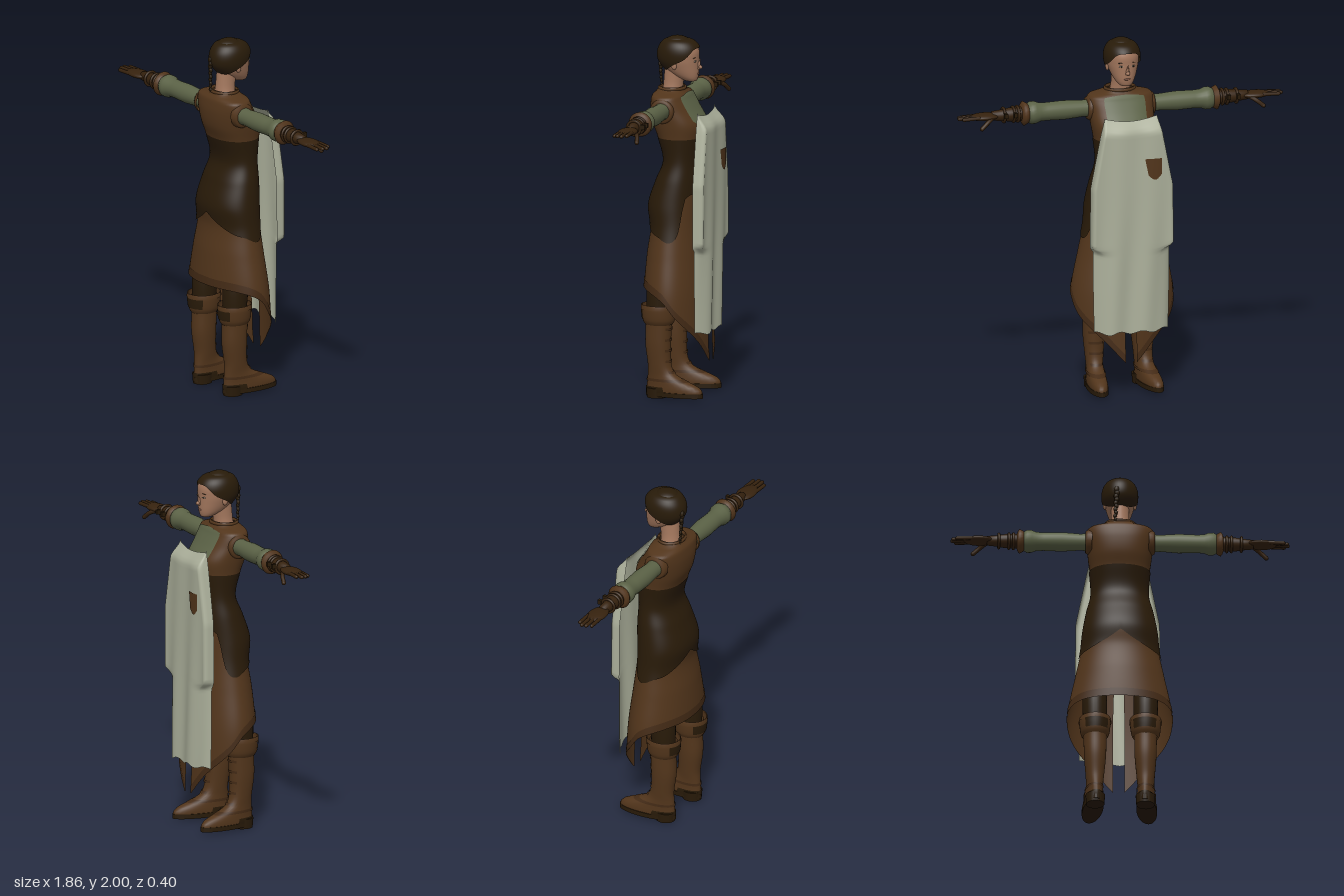
import * as THREE from 'three';

const mat = (name, color) => Object.assign(new THREE.MeshStandardMaterial({ color }), { name });
const PI = Math.PI;

// Smooth interpolation of table rows [t, a, b, ...] at t
function sample(tab, t, smooth = true) {
  const n = tab.length;
  t = Math.min(Math.max(t, tab[0][0]), tab[n - 1][0]);
  let i = 0;
  while (i < n - 2 && t > tab[i + 1][0]) i++;
  const p = tab[i], q = tab[i + 1], h = q[0] - p[0], f = (t - p[0]) / h;
  const slope = (k, c) => {
    const a = tab[Math.max(k - 1, 0)], b = tab[Math.min(k + 1, n - 1)];
    return (b[c] - a[c]) / (b[0] - a[0]);
  };
  return p.slice(1).map((_, j) => {
    const c = j + 1;
    if (!smooth) return p[c] + (q[c] - p[c]) * f;
    const f2 = f * f, f3 = f2 * f;
    return p[c] * (2 * f3 - 3 * f2 + 1) + q[c] * (3 * f2 - 2 * f3)
      + h * (slope(i, c) * (f3 - 2 * f2 + f) + slope(i + 1, c) * (f3 - f2));
  });
}

// Grid surface from a point function; first index runs around, second upward
function grid(nu, nv, fn, closed) {
  const pos = [], idx = [], w = closed ? nu : nu + 1;
  for (let j = 0; j <= nv; j++) for (let i = 0; i < w; i++) pos.push(...fn(i / nu, j / nv));
  for (let j = 0; j < nv; j++) for (let i = 0; i < nu; i++) {
    const k = (i + 1) % w, a = j * w + i, b = j * w + k, c = a + w, d = b + w;
    idx.push(a, c, b, b, c, d);
  }
  const g = new THREE.BufferGeometry();
  g.setAttribute('position', new THREE.Float32BufferAttribute(pos, 3));
  g.setIndex(idx);
  g.computeVertexNormals();
  return g;
}

// Loft of oval sections [y, halfWidth, zBack, zFront]; angle 0 is the face side (-z)
function loft(tab, lo, hi, { n = 40, rows = 20, from = 0, to = 2 * PI, off = 0, pow = 2 } = {}) {
  const val = (f, a) => typeof f === 'function' ? f(a) : f;
  return grid(n, rows, (u, v) => {
    const a = from + (to - from) * u, l = val(lo, a), y = l + (val(hi, a) - l) * v;
    const [hw, zb, zf] = sample(tab, y);
    const s = Math.sin(a), c = Math.cos(a);
    const r = Math.pow(Math.abs(s) ** pow + Math.abs(c) ** pow, -1 / pow);
    return [(hw + off) * s * r, y, (zb + zf) / 2 - ((zb - zf) / 2 + off) * c * r];
  }, to - from > 6.28);
}

export function createModel() {
  const M = {
    leather: mat('brown leather', 0x52351b), trim: mat('dark leather trim', 0x432a15),
    corset: mat('dark corset', 0x281a08), hair: mat('dark brown hair', 0x281b09),
    glove: mat('glove brown', 0x36220e), cloth: mat('green shirt', 0x5b6246),
    tabard: mat('pale cloth', 0xacb09b), skin: mat('skin', 0xa3775d),
    lips: mat('lips', 0x8a5c48), eye: mat('eye white', 0xa89e90),
  };
  M.tabard.side = M.leather.side = M.trim.side = M.hair.side = THREE.DoubleSide;
  const root = new THREE.Group();
  root.name = 'figure';
  const add = (name, geo, m, parent = root, p = [0, 0, 0], r = [0, 0, 0], s = [1, 1, 1]) => {
    const o = new THREE.Mesh(geo, m);
    o.name = name;
    o.position.set(...p); o.rotation.set(...r); o.scale.set(...s);
    parent.add(o);
    return o;
  };
  const fold = a => Math.abs(a > PI ? 2 * PI - a : a);

  // Torso, corset and skirt share one set of sections
  const body = [
    [0.15, 0.285, 0.2, -0.165], [0.45, 0.29, 0.2, -0.155], [0.6, 0.285, 0.2, -0.145], [0.8, 0.245, 0.186, -0.125],
    [0.95, 0.215, 0.166, -0.11], [1.07, 0.202, 0.177, -0.108], [1.2, 0.18, 0.136, -0.108],
    [1.31, 0.156, 0.095, -0.105], [1.44, 0.163, 0.126, -0.118], [1.52, 0.174, 0.155, -0.122],
    [1.6, 0.182, 0.165, -0.075], [1.66, 0.184, 0.16, -0.04], [1.682, 0.165, 0.153, -0.03],
    [1.695, 0.1, 0.14, -0.015], [1.72, 0.08, 0.125, -0.005]];
  const hemTab = [[0, 0.17], [0.12, 0.2], [0.55, 0.33], [1.2, 0.47], [1.57, 0.56], [2.2, 0.61], [PI, 0.62]];
  const hem = a => sample(hemTab, fold(a))[0];
  const edgeTab = [[0, 1.13], [0.85, 1.12], [1.0, 1.0], [1.15, 0.91], [1.45, 0.88], [1.9, 0.91], [2.3, 0.93], [2.8, 0.98], [PI, 1.03]];
  const edge = a => sample(edgeTab, fold(a))[0];
  add('vest', loft(body, 1.42, 1.72, { rows: 30, n: 56, pow: 2.4 }), M.leather);
  add('corset', loft(body, edge, 1.445, { rows: 36, n: 80, off: 0.005, pow: 2.15 }), M.corset);
  const slit = { from: 0.11, to: 2 * PI - 0.11, n: 72 };
  add('skirt', loft(body, hem, 1.16, { ...slit, rows: 36 }), M.leather);
  add('skirtHem', loft(body, hem, a => hem(a) + 0.045, { ...slit, rows: 3, off: 0.003 }), M.trim);
  add('shirtFront', loft(body, a => 1.5 + 0.12 * a * a, a => 1.688 - 0.03 * a * a,
    { from: -0.62, to: 0.62, n: 16, rows: 16, off: 0.005, pow: 2.4 }), M.cloth);
  add('collar', new THREE.TorusGeometry(0.078, 0.009, 8, 32), M.leather, root, [0, 1.708, 0.06], [PI / 2, 0, 0], [1.05, 0.9, 1]);

  // Neck and head
  add('neck', loft([[1.66, 0.07, 0.12, 0], [1.72, 0.053, 0.11, 0], [1.78, 0.05, 0.105, -0.01], [1.84, 0.05, 0.1, -0.02]],
    1.66, 1.84, { n: 24, rows: 8 }), M.skin);
  const head = [
    [1.745, 0.004, -0.045, -0.055], [1.75, 0.026, -0.02, -0.077], [1.765, 0.044, 0.01, -0.085], [1.79, 0.06, 0.06, -0.09],
    [1.83, 0.076, 0.105, -0.091], [1.87, 0.087, 0.13, -0.091], [1.92, 0.088, 0.13, -0.09],
    [1.96, 0.073, 0.11, -0.068], [1.982, 0.045, 0.08, -0.03], [1.988, 0.002, 0.03, 0.02]];
  add('head', loft(head, 1.745, 1.988, { n: 40, rows: 32, pow: 2.15 }), M.skin);
  const lineTab = [[0, 1.94], [0.6, 1.93], [1.1, 1.88], [1.45, 1.86], [1.9, 1.835], [2.4, 1.815], [PI, 1.81]];
  add('hair', loft(head, a => sample(lineTab, fold(a))[0], 1.988, { n: 48, rows: 24, off: 0.012 }), M.hair);
  add('hairCrown', new THREE.SphereGeometry(0.062, 24, 12), M.hair, root, [0, 1.965, 0.03], [0, 0, 0], [1, 0.56, 1.1]);
  for (let i = 0; i < 11; i++) add('braid', new THREE.SphereGeometry(0.015 - i * 0.0006, 10, 8), M.hair, root,
    [-0.02 - 0.001 * i + (i % 2 ? 0.002 : -0.002), 1.89 - i * 0.0195, 0.14 - 0.001 * i], [0, 0, i % 2 ? 0.4 : -0.4], [1, 1.2, 0.75]);
  add('nose', new THREE.ConeGeometry(0.015, 0.06, 12), M.skin, root, [0, 1.85, -0.094], [-0.3, 0, 0], [0.9, 1, 1]);
  add('noseTip', new THREE.SphereGeometry(0.011, 12, 8), M.skin, root, [0, 1.829, -0.102]);
  add('mouth', new THREE.SphereGeometry(0.02, 12, 8), M.lips, root, [0, 1.793, -0.087], [0, 0, 0], [1, 0.3, 0.3]);
  for (const s of [-1, 1]) {
    add('eye', new THREE.SphereGeometry(0.011, 12, 8), M.eye, root, [s * 0.034, 1.866, -0.083], [0, s * -0.25, 0], [1.2, 0.45, 0.4]);
    add('iris', new THREE.SphereGeometry(0.006, 10, 8), M.hair, root, [s * 0.034, 1.866, -0.086], [0, 0, 0], [1, 0.9, 0.4]);
    add('brow', new THREE.SphereGeometry(0.018, 10, 6), M.hair, root, [s * 0.036, 1.886, -0.082], [0, s * -0.3, s * -0.1], [1, 0.12, 0.22]);
    add('ear', new THREE.SphereGeometry(0.025, 12, 8), M.skin, root, [s * 0.083, 1.845, 0.025], [0.15, 0, 0], [0.4, 1, 0.65]);
  }

  // Pale cloth panel: square side flaps above the jog, softly curled edges below it
  const sideTab = [[0.37, 0.205], [0.6, 0.21], [0.84, 0.212], [0.86, 0.228], [1.2, 0.224], [1.5, 0.165], [1.6, 0.14]];
  const side = y => sample(sideTab, y, false)[0];
  const panelZ = (x, y) => {
    const low = THREE.MathUtils.smoothstep(1.3 - y, 0, 0.7), top = THREE.MathUtils.smoothstep(y, 1.5, 1.6);
    const z = -0.191 + 0.008 * Math.sin(x * 34 + y * 2) * (0.4 + 0.6 * low);
    return z * (1 - top) - 0.134 * top;
  };
  const wall = 0.12;
  add('frontPanel', grid(48, 64, (u, v) => {
    const lo = 0.375 + 0.008 * Math.sin(u * 21), y = lo + (1.6 - 0.03 * Math.sin(u * PI) - lo) * v;
    const flap = THREE.MathUtils.smoothstep(y, 0.82, 0.87), e = u * 2 - 1;
    const t = THREE.MathUtils.clamp((u - wall) / (1 - 2 * wall), 0, 1) * 2 - 1;
    const turn = Math.max(wall - u, u - 1 + wall, 0) / wall;
    const w = side(y) + (e < 0 ? 0.012 : 0);
    const square = t * (0.965 + 0.035 * Math.min(turn * 3, 1));
    const x = w * THREE.MathUtils.lerp(e, square, flap);
    const curl = THREE.MathUtils.lerp(0.9 * Math.abs(e) ** 5, turn, flap);
    return [x, y, THREE.MathUtils.lerp(panelZ(x, y), -0.13, curl)];
  }), M.tabard);
  add('tornPatch', grid(10, 8, (u, v) => {
    const lo = 1.27 - 0.03 * Math.sin(u * 3), y = lo + (1.36 - lo) * v, x = -0.165 + (0.095 - (1.36 - y) * 0.2) * u;
    return [x, y, panelZ(x, y) - 0.004];
  }), M.leather);

  const lathe = (pts) => new THREE.LatheGeometry(pts.map(([x, r]) => new THREE.Vector2(r, x)), 24);
  for (const s of [-1, 1]) {
    // Arms are turned profiles laid along x
    const arm = new THREE.Group();
    arm.name = s > 0 ? 'leftArm' : 'rightArm';
    arm.position.set(0, 1.603, 0.063);
    root.add(arm);
    const rot = [0, 0, -s * PI / 2];
    const turn = (name, pts, m) => add(name, lathe(pts), m, arm, [0, 0, 0], rot);
    turn('shoulderCap', [[0.155, 0.07], [0.178, 0.068], [0.19, 0.06], [0.191, 0.04]], M.leather);
    turn('sleeve', [[0.14, 0.05], [0.22, 0.046], [0.32, 0.053], [0.42, 0.05], [0.46, 0.052], [0.485, 0.062], [0.51, 0.063], [0.53, 0.052], [0.545, 0.04]], M.cloth);
    turn('cuff', [[0.522, 0.045], [0.53, 0.056], [0.552, 0.068], [0.562, 0.054], [0.568, 0.035]], M.leather);
    turn('bracer', [[0.55, 0.04], [0.6, 0.04], [0.64, 0.037], [0.68, 0.031], [0.73, 0.026], [0.735, 0.001]], M.glove);
    for (const x of [0.585, 0.61, 0.665]) {
      add('wristStrap', new THREE.TorusGeometry(0.062 - x * 0.035, 0.008, 8, 24), M.glove, arm, [s * x, 0, 0], [0, PI / 2, 0]);
    }
    for (const x of [0.61, 0.665]) {
      add('buckle', new THREE.BoxGeometry(0.018, 0.026, 0.024), M.corset, arm, [s * x, 0.008, -0.052]);
    }
    add('palm', new THREE.SphereGeometry(1, 20, 14), M.glove, arm, [s * 0.775, 0, 0], [0, 0, 0], [0.085, 0.02, 0.052]);
    for (let i = 0; i < 4; i++) {
      const len = [0.085, 0.105, 0.1, 0.08][i], z = -0.036 + i * 0.024;
      add('finger', new THREE.CapsuleGeometry(0.0105, len, 4, 10), M.glove, arm,
        [s * (0.815 + len / 2), 0.002 - (i === 3 ? 0.004 : 0), z], [0, 0, -s * PI / 2 - s * 0.03]);
    }
    add('thumb', new THREE.TubeGeometry(new THREE.CatmullRomCurve3([[0.725, 0, -0.02], [0.765, -0.02, -0.05], [0.805, -0.052, -0.063]]
      .map(p => new THREE.Vector3(s * p[0], p[1], p[2]))), 10, 0.012, 10), M.glove, arm);
    add('thumbTip', new THREE.SphereGeometry(0.012, 10, 8), M.glove, arm, [s * 0.805, -0.052, -0.063]);

    // Legs, boots and soles, toes turned slightly out
    const leg = new THREE.Group();
    leg.name = s > 0 ? 'leftLeg' : 'rightLeg';
    leg.position.set(s * 0.138, 0, 0.1);
    leg.rotation.y = -s * 0.1;
    root.add(leg);
    add('trouser', loft([[0.4, 0.06, 0.055, -0.065], [0.6, 0.068, 0.06, -0.085], [0.75, 0.062, 0.035, -0.1]], 0.4, 0.75, { n: 24, rows: 8 }), M.corset, leg);
    const boot = [
      [0.025, 0.05, 0.06, -0.265], [0.05, 0.052, 0.062, -0.265], [0.075, 0.05, 0.06, -0.235], [0.1, 0.048, 0.058, -0.17],
      [0.13, 0.046, 0.055, -0.11], [0.18, 0.05, 0.053, -0.08], [0.3, 0.06, 0.067, -0.075], [0.42, 0.062, 0.065, -0.08], [0.5, 0.066, 0.07, -0.085]];
    add('boot', loft(boot, 0.025, 0.5, { n: 32, rows: 32, pow: 2.2 }), M.leather, leg);
    const oval = new THREE.Shape();
    oval.absellipse(0, 0.102, 0.056, 0.169, 0, 2 * PI);
    add('sole', new THREE.ExtrudeGeometry(oval, { depth: 0.026, bevelEnabled: false, curveSegments: 20 }), M.corset, leg, [0, 0.012, 0], [-PI / 2, 0, 0]);
    add('heel', new THREE.CylinderGeometry(0.054, 0.05, 0.055, 20), M.corset, leg, [0, 0.0275, 0.005], [0, 0, 0], [1, 1, 1.1]);
    add('heelCounter', loft(boot, 0.03, 0.065, { from: PI - 1.3, to: PI + 1.3, n: 14, rows: 5, off: 0.004, pow: 2.2 }), M.corset, leg);
    add('ankleStrap', loft(boot, 0.095, 0.11, { n: 28, rows: 2, off: 0.004, pow: 2.2 }), M.trim, leg);
    for (const y of [0.14, 0.2, 0.26, 0.32, 0.38]) {
      add('bootLace', loft(boot, y, y + 0.014, { from: -0.7, to: 0.7, n: 10, rows: 2, off: 0.006 }), M.trim, leg);
    }
    const cuff = [[0.41, 0.066, 0.07, -0.085], [0.43, 0.078, 0.082, -0.097], [0.5, 0.086, 0.089, -0.102], [0.52, 0.082, 0.087, -0.1]];
    add('bootCuff', loft(cuff, 0.41, 0.52, { n: 28, rows: 8 }), M.leather, leg);
    add('cuffPatch', loft(cuff, 0.44, 0.495, { from: PI - 0.8, to: PI + 0.8, n: 12, rows: 3, off: 0.003 }), M.corset, leg);
    add('cuffBand', loft(cuff, 0.495, 0.52, { n: 28, rows: 2, off: 0.004 }), M.leather, leg);
  }
  return root;
}
